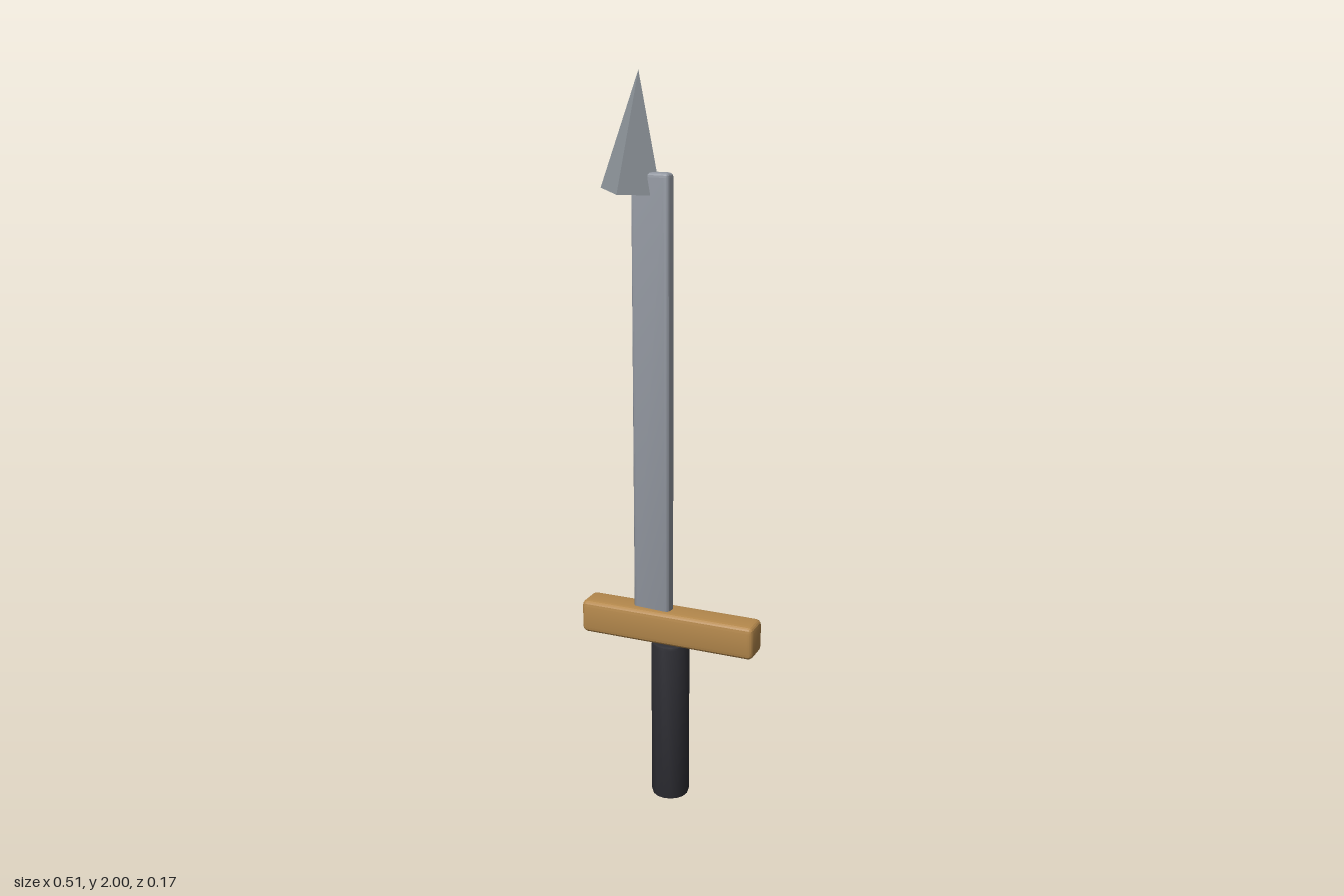
import * as THREE from 'three';
import { RoundedBoxGeometry } from 'three/addons/geometries/RoundedBoxGeometry.js';
import { toCreasedNormals } from 'three/addons/utils/BufferGeometryUtils.js';

const material = (name, color) => {
  const m = new THREE.MeshStandardMaterial({ color });
  m.name = name;
  return m;
};

export function createModel() {
  const model = new THREE.Group();
  model.name = 'sword';
  const black = material('black grip', 0x2d2d33);
  const bronze = material('bronze', 0xb4884c);
  const steel = material('blade steel', 0x9297a0);
  const tipSteel = material('tip steel', 0x8e959b);

  const add = (name, geometry, mat, x, y, z = 0) => {
    const mesh = new THREE.Mesh(geometry, mat);
    mesh.name = name;
    mesh.position.set(x, y, z);
    model.add(mesh);
    return mesh;
  };

  // Round grip with softly bevelled ends
  const profile = [[0, 0], [0.045, 0], [0.051, 0.003], [0.053, 0.01], [0.053, 0.462],
    [0.051, 0.469], [0.045, 0.472], [0, 0.472]].map(([r, y]) => new THREE.Vector2(r, y));
  add('grip', toCreasedNormals(new THREE.LatheGeometry(profile, 16), 0.5), black, 0, 0);

  // Bevelled bar guard
  const guard = new RoundedBoxGeometry(0.51, 0.095, 0.084, 2, 0.016);
  add('guard', toCreasedNormals(guard, 0.3), bronze, 0, 0.518);

  // Flat blade, set off centre and turned slightly
  const blade = new RoundedBoxGeometry(0.11, 1.21, 0.039, 2, 0.012);
  add('blade', toCreasedNormals(blade, 0.3), steel, -0.05, 1.147).rotation.y = -0.08;

  // Four-sided tip, leaning towards the blade
  const tip = new THREE.ConeGeometry(0.085, 0.301, 4).translate(0, 0.1505, 0);
  add('tip', toCreasedNormals(tip, 0.3), tipSteel, -0.111, 1.7, -0.001).rotation.z = -0.08;

  return model;
}
